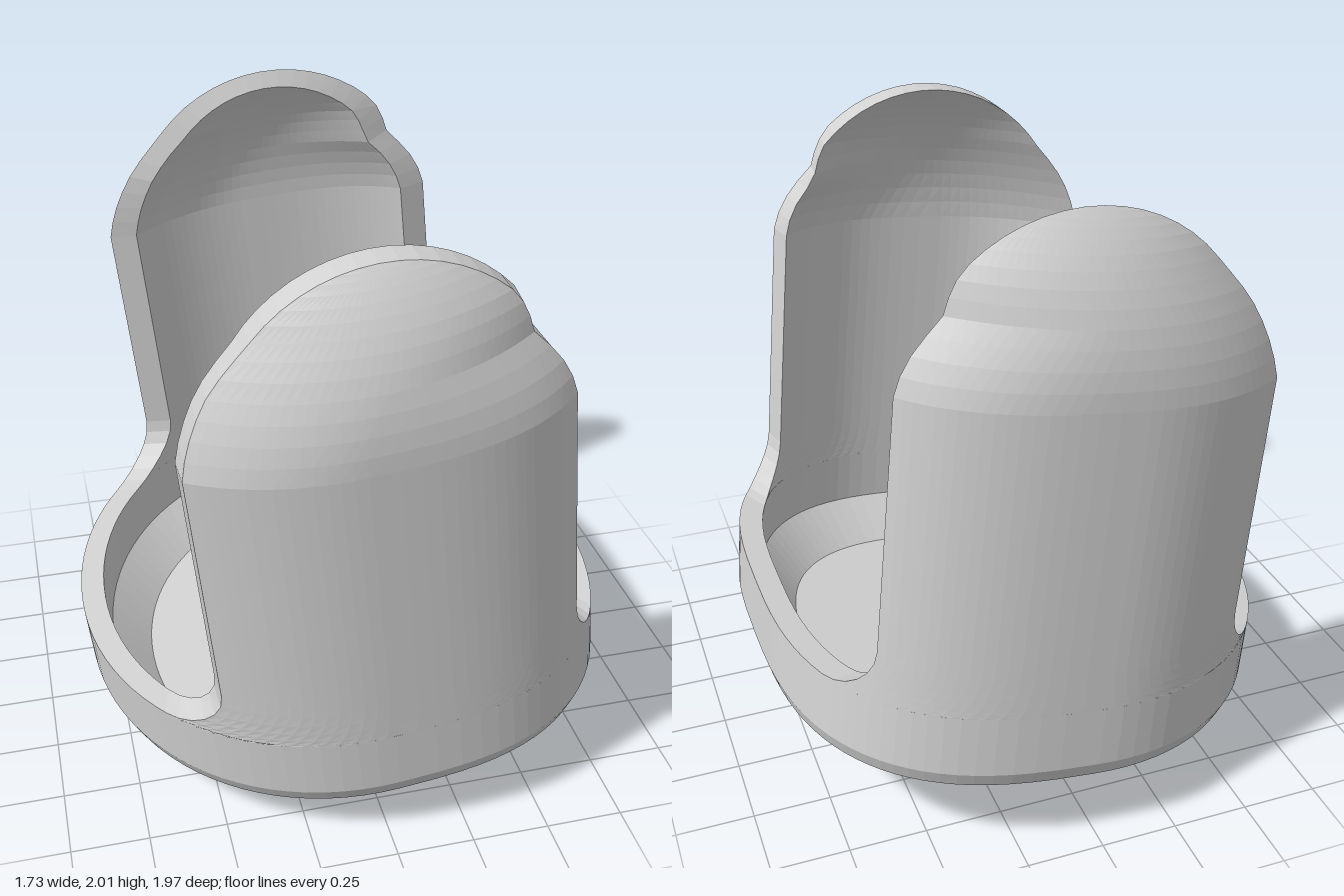
import * as THREE from 'three';

const RIM = 0.41;       // height of the low side rim
const SHOULDER = 1.38;  // where the tall walls start to dome inwards
const FILLET = 0.17;    // rounding between rim and tall walls
const OUTER = { x: 0.86, z: 0.96 };
const INNER = { x: 0.78, z: 0.89 };

// Roundness exponent: the +x side is squarer than the -x side, evening out in the dome
const exponent = (c, round = 0) => THREE.MathUtils.lerp(c >= 0 ? 2.85 : 2.05, 2, round);

// Point on the rounded cross-section
function section(rx, rz, y, theta, round = 0) {
  const c = Math.cos(theta), s = Math.sin(theta), p = 2 / exponent(c, round);
  return [
    Math.sign(c) * rx * Math.pow(Math.abs(c), p),
    y,
    Math.sign(s) * rz * Math.pow(Math.abs(s), p),
  ];
}

// Surface through rows of points, each row closed on itself
function skin(rows, flip = false) {
  const n = rows[0].length, index = [];
  for (let i = 0; i < rows.length - 1; i++) {
    for (let j = 0; j < n; j++) {
      const k = (j + 1) % n;
      const a = i * n + j, b = a + n, c = i * n + k, d = c + n;
      if (flip) index.push(a, c, b, c, d, b);
      else index.push(a, b, c, c, b, d);
    }
  }
  const g = new THREE.BufferGeometry();
  g.setAttribute('position', new THREE.Float32BufferAttribute(rows.flat(2), 3));
  g.setIndex(index);
  g.computeVertexNormals();
  return g;
}

// Shallow cup: underside, chamfer, side, rim, inside and floor
function cupGeometry() {
  const profile = [
    [0, 0, 0.02], [0.61, 0.67, 0.012], [0.62, 0.68, 0], [0.68, 0.74, 0.005],
    [0.84, 0.94, 0.16], [OUTER.x, OUTER.z, 0.21], [OUTER.x, OUTER.z, RIM],
    [INNER.x, INNER.z, RIM], [INNER.x, INNER.z, 0.22], [0.66, 0.74, 0.09], [0, 0, 0.09],
  ];
  const sides = 96;
  return skin(profile.map(([rx, rz, y]) =>
    Array.from({ length: sides }, (_, j) => section(rx, rz, y, (j / sides) * Math.PI * 2))));
}

// Rows of one face of a tall wall, from the rim up to the top of its arch
function wallFace(size, cut, dome, side) {
  const ratio = cut / size.z;
  const top = SHOULDER + dome * Math.sqrt(1 - ratio * ratio);
  const levels = [];
  for (let k = 0; k <= 6; k++) levels.push(RIM + FILLET * (1 - Math.cos((k / 6) * Math.PI / 2)));
  for (let k = 0; k <= 14; k++) levels.push(SHOULDER + (top - SHOULDER) * Math.sin((k / 14) * Math.PI / 2));
  return levels.map((y) => {
    const h = Math.max(0, (y - SHOULDER) / dome);
    const f = Math.sqrt(1 - h * h);
    const round = Math.min(1, h * 4);
    const shift = 0.11 * Math.min(1, h * 2.5); // the arch peaks towards +x
    const q = Math.max(0, FILLET - (y - RIM));
    const edge = cut - FILLET + Math.sqrt(FILLET * FILLET - q * q);
    // Angle at which the face ends on the +x (1) or -x (-1) side
    const limit = (sign, offset) => {
      const s = Math.min(1, (edge + offset) / (size.z * f));
      return Math.asin(Math.pow(s, exponent(sign, round) / 2));
    };
    const start = limit(1, 0);
    const end = Math.PI - limit(-1, 0.025 * (1 - round));
    return Array.from({ length: 33 }, (_, j) => {
      const [px, py, pz] = section(size.x * f, size.z * f, y, start + (end - start) * (j / 32), round);
      return [px + shift, py, pz * side];
    });
  });
}

// Tall arched wall: outer face, inner face and the edge between them
function wallGeometry(side, outerCut, outerDome, innerCut, innerDome) {
  const outer = wallFace(OUTER, outerCut, outerDome, side);
  const inner = wallFace(INNER, innerCut, innerDome, side);
  return skin(outer.map((row, i) => [...row, ...inner[i].reverse()]), side < 0);
}

export function createModel() {
  const grey = new THREE.MeshStandardMaterial({ color: 0xd2d2d2, flatShading: true });
  grey.name = 'light grey';

  const holder = new THREE.Group();
  holder.name = 'holder';
  const add = (name, geometry) => {
    const mesh = new THREE.Mesh(geometry, grey);
    mesh.name = name;
    holder.add(mesh);
  };
  add('cup', cupGeometry());
  add('frontWall', wallGeometry(1, 0.775, 0.89, 0.675, 0.8));
  add('backWall', wallGeometry(-1, 0.765, 0.86, 0.74, 0.84));

  // The whole holder leans slightly
  holder.rotation.set(0.04, 0, 0.105);
  holder.position.set(0.04, 0.076, -0.03);

  const model = new THREE.Group();
  model.name = 'archedHolder';
  model.add(holder);
  return model;
}
